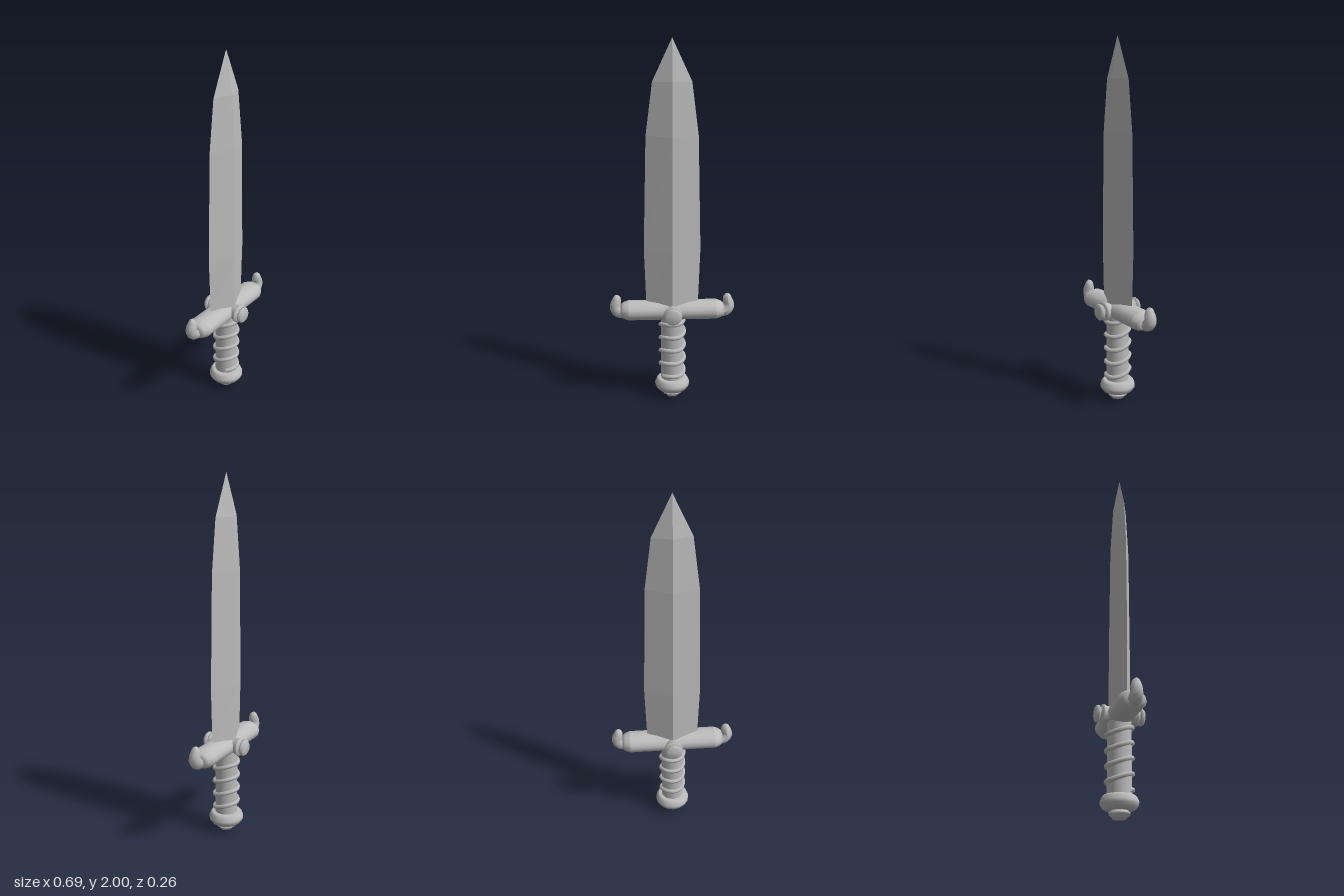
import * as THREE from 'three';

const steel = new THREE.MeshStandardMaterial({ color: 0xbcbcbc });
steel.name = 'grey steel';

const GUARD_Y = 0.527;

function add(parent, name, geometry) {
  const mesh = new THREE.Mesh(geometry, steel);
  mesh.name = name;
  parent.add(mesh);
  return mesh;
}

// Round part turned about y from [radius, height] pairs, bottom to top
function turned(profile, sides) {
  return new THREE.LatheGeometry(profile.map(([r, y]) => new THREE.Vector2(r, y)), sides);
}

// Diamond cross-sections [y, half width, half depth] joined with flat faces
function bladeGeometry(sections) {
  const rings = sections.map(([y, w, d]) => [[w, y, 0], [0, y, -d], [-w, y, 0], [0, y, d]]);
  const pos = [];
  for (let i = 0; i < rings.length - 1; i++) {
    for (let j = 0; j < 4; j++) {
      const k = (j + 1) % 4;
      const a = rings[i][j], b = rings[i][k], c = rings[i + 1][k], d = rings[i + 1][j];
      pos.push(...a, ...b, ...c, ...a, ...c, ...d);
    }
  }
  const g = new THREE.BufferGeometry();
  g.setAttribute('position', new THREE.Float32BufferAttribute(pos, 3));
  g.computeVertexNormals();
  return g;
}

// Upturned horn: a tube whose rings are scaled along its length
function hornGeometry() {
  const path = new THREE.CatmullRomCurve3([
    [0.255, 0.522], [0.295, 0.521], [0.316, 0.548], [0.309, 0.592], [0.316, 0.62],
  ].map(([x, y]) => new THREE.Vector3(x, y, 0)));
  const steps = 14, sides = 10;
  const g = new THREE.TubeGeometry(path, steps, 1, sides);
  const p = g.attributes.position;
  const radii = [0.03, 0.034, 0.036, 0.036, 0.036, 0.035, 0.034, 0.033, 0.031, 0.03, 0.028, 0.026, 0.023, 0.017, 0];
  const v = new THREE.Vector3();
  for (let i = 0; i <= steps; i++) {
    const c = path.getPointAt(i / steps);
    for (let j = 0; j <= sides; j++) {
      const n = i * (sides + 1) + j;
      v.fromBufferAttribute(p, n).sub(c).multiplyScalar(radii[i]).add(c);
      p.setXYZ(n, v.x, v.y, v.z);
    }
  }
  g.computeVertexNormals();
  return g;
}

// Wire wound round the grip: level at front and back, rising along the sides
class WireCurve extends THREE.Curve {
  getPoint(u, target = new THREE.Vector3()) {
    const t = (-0.15 + u * 4.45) * Math.PI * 2, pitch = 0.079;
    const y = 0.143 + pitch * (t / (2 * Math.PI) - Math.sin(2 * t) / (4 * Math.PI));
    return target.set(0.066 * Math.sin(t), y, 0.066 * Math.cos(t));
  }
}

export function createModel() {
  const model = new THREE.Group();
  model.name = 'dagger';

  add(model, 'blade', bladeGeometry([
    [0.54, 0.143, 0.058], [0.88, 0.155, 0.058], [1.5, 0.14, 0.053], [1.78, 0.104, 0.038], [2, 0, 0],
  ]));

  // Crossguard: oval bar with bevelled ends
  const bar = turned([
    [0, -0.29], [0.045, -0.287], [0.06, -0.272], [0.072, -0.245], [0.072, -0.24],
    [0.072, 0.24], [0.072, 0.245], [0.06, 0.272], [0.045, 0.287], [0, 0.29],
  ], 16);
  bar.rotateZ(-Math.PI / 2).scale(1, 0.74, 1).translate(0, GUARD_Y, 0);
  add(model, 'crossguard', bar);

  // Horns and studs repeat by a half turn
  for (const [side, turn] of [['left', 0], ['right', Math.PI]]) {
    add(model, side + 'Horn', hornGeometry()).rotation.y = turn;
  }
  for (const [side, turn] of [['front', 0], ['back', Math.PI]]) {
    const stud = new THREE.Group();
    stud.name = side + 'Stud';
    stud.position.y = GUARD_Y;
    stud.rotation.y = turn;
    model.add(stud);
    add(stud, 'studBase', turned([
      [0.042, 0.05], [0.046, 0.075], [0.053, 0.086], [0.052, 0.094], [0.04, 0.097], [0.033, 0.1], [0.033, 0.108],
    ], 12).rotateX(Math.PI / 2));
    add(stud, 'studCap', turned([
      [0.03, 0.104], [0.045, 0.108], [0.047, 0.119], [0.036, 0.13], [0, 0.132],
    ], 12).rotateX(Math.PI / 2));
  }

  // Grip with its wound wire
  add(model, 'grip', new THREE.CylinderGeometry(0.063, 0.063, 0.39, 16).translate(0, 0.295, 0));
  add(model, 'gripWire', new THREE.TubeGeometry(new WireCurve(), 110, 0.0125, 6));

  // Pommel and its end button
  add(model, 'pommel', turned([
    [0, 0.042], [0.068, 0.043], [0.083, 0.05], [0.097, 0.07], [0.098, 0.085], [0.088, 0.108], [0.078, 0.117], [0, 0.119],
  ], 16));
  add(model, 'pommelButton', turned([
    [0, 0], [0.033, 0.002], [0.04, 0.012], [0.055, 0.023], [0.056, 0.032], [0.045, 0.037], [0.045, 0.05],
  ], 12));

  return model;
}
